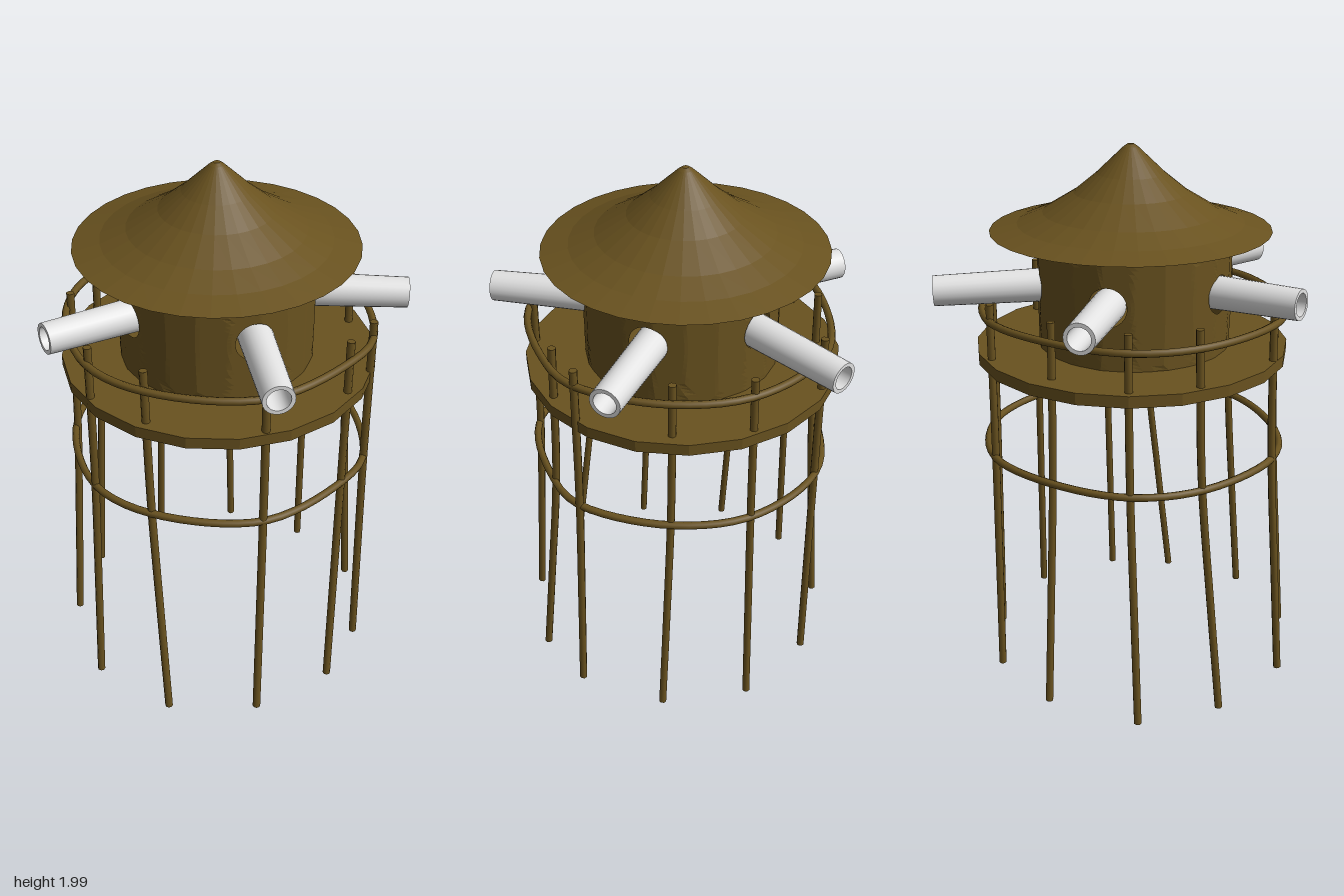
import * as THREE from 'three';

const timber = new THREE.MeshStandardMaterial({ color: 0x69521f, side: THREE.DoubleSide });
timber.name = 'brown timber';
timber.flatShading = true;
const timberSmooth = timber.clone();
timberSmooth.flatShading = false;
const pale = new THREE.MeshStandardMaterial({ color: 0xe2e2e2, side: THREE.DoubleSide });
pale.name = 'pale grey';

const V3 = (x, y, z) => new THREE.Vector3(x, y, z);
const WALL_R = 0.348, WALL_LOW = 1.28, WALL_HIGH = 1.72, PORT_Y = 1.515, PORT_R = 0.068, SIDES = 20;

// Barrels: point where each crosses the wall, then its outer end, in order round the drum
const BARRELS = [
  [V3(-0.075, 1.522, 0.337), V3(-0.145, 1.53, 0.645)],
  [V3(0.32, 1.515, 0.125), V3(0.6, 1.508, 0.305)],
  [V3(0.22, 1.51, -0.27), V3(0.44, 1.5, -0.5)],
  [V3(-0.16, 1.51, -0.3), V3(-0.315, 1.5, -0.63)],
  [V3(-0.345, 1.505, 0.022), V3(-0.622, 1.5, 0.04)],
];

// Legs: top x, z, then bottom x, z, in order round the platform
const LEGS = [
  [-0.06, 0.538, -0.03, 0.61], [0.17, 0.49, 0.3, 0.54], [0.48, 0.235, 0.535, 0.3],
  [0.51, -0.128, 0.595, -0.03], [0.479, -0.278, 0.517, -0.27], [0.205, -0.465, 0.265, -0.5],
  [-0.055, -0.528, -0.065, -0.545], [-0.366, -0.39, -0.36, -0.41], [-0.468, -0.12, -0.536, -0.139],
  [-0.5, 0.16, -0.537, 0.208], [-0.38, 0.365, -0.36, 0.463],
];

function add(group, name, geometry, material) {
  const mesh = new THREE.Mesh(geometry, material);
  mesh.name = name;
  group.add(mesh);
  return mesh;
}

// Point on the many-sided drum at an angle and height
function wallPoint(angle, y) {
  const step = (2 * Math.PI) / SIDES;
  const local = angle - (Math.floor(angle / step) + 0.5) * step;
  const r = (WALL_R * Math.cos(step / 2)) / Math.cos(local);
  return [r * Math.sin(angle), y, r * Math.cos(angle)];
}

// Section of wall with a round port, made of rings growing from circle to rectangle
function wallSection(centre, left, right) {
  const rings = 12, around = 48, positions = [], index = [];
  for (let s = 0; s <= rings; s++) {
    for (let k = 0; k <= around; k++) {
      const t = (k / around) * 2 * Math.PI, c = Math.cos(t), n = Math.sin(t);
      const m = Math.max(Math.abs(c), Math.abs(n));
      const outA = (c / m) * (c < 0 ? left : right);
      const outY = (n / m) * (n < 0 ? PORT_Y - WALL_LOW : WALL_HIGH - PORT_Y);
      const f = s / rings;
      const a = THREE.MathUtils.lerp((c * PORT_R) / WALL_R, outA, f);
      const y = THREE.MathUtils.lerp(n * PORT_R, outY, f);
      positions.push(...wallPoint(centre + a, PORT_Y + y));
      if (s < rings && k < around) {
        const i = s * (around + 1) + k, j = i + around + 1;
        index.push(i, j, j + 1, i, j + 1, i + 1);
      }
    }
  }
  const g = new THREE.BufferGeometry();
  g.setAttribute('position', new THREE.Float32BufferAttribute(positions, 3));
  g.setIndex(index);
  g.computeVertexNormals();
  return g;
}

// Hollow, slightly tapered barrel poking through its port
function barrel(wall, end) {
  const group = new THREE.Group();
  group.name = 'barrel';
  const dir = end.clone().sub(wall).normalize();
  const start = wall.clone().addScaledVector(dir, -0.06);
  const L = start.distanceTo(end);
  const profile = [[0.06, 0], [0.054, L], [0.04, L], [0.044, 0]];
  ['barrelOutside', 'barrelRim', 'barrelBore'].forEach((name, i) => {
    const pts = [profile[i], profile[i + 1]].map(([r, y]) => new THREE.Vector2(r, y));
    add(group, name, new THREE.LatheGeometry(pts, 24), pale);
  });
  group.position.copy(start);
  group.quaternion.setFromUnitVectors(V3(0, 1, 0), dir);
  return group;
}

// Bent pole with closed ends
function leg([tx, tz, bx, bz], i) {
  const group = new THREE.Group();
  group.name = 'leg';
  const lerp = THREE.MathUtils.lerp;
  const at = (f, y) => V3(lerp(tx, bx, f), y, lerp(tz, bz, f));
  const foot = 0.012 + 0.009 * (i % 3);
  const curve = new THREE.CatmullRomCurve3([at(1, foot), at(0.6, 0.45), at(0.17, 0.95), at(0, 1.49)]);
  add(group, 'pole', new THREE.TubeGeometry(curve, 14, 0.0145, 8), timberSmooth);
  for (const [t, sign] of [[0, -1], [1, 1]]) {
    const cap = add(group, 'poleEnd', new THREE.CircleGeometry(0.0145, 8), timber);
    cap.position.copy(curve.getPoint(t));
    cap.quaternion.setFromUnitVectors(V3(0, 0, 1), curve.getTangent(t).multiplyScalar(sign));
  }
  return group;
}

export function createModel() {
  const model = new THREE.Group();
  model.name = 'watchtower';

  // Curved conical roof with a flat underside
  const roofProfile = [[0, 1.705], [0.497, 1.705], [0.4, 1.73], [0.31, 1.768], [0.2, 1.835],
    [0.12, 1.9], [0.06, 1.957], [0.025, 1.99], [0.012, 1.999], [0, 2]];
  const roof = add(model, 'roof',
    new THREE.LatheGeometry(roofProfile.map(([r, y]) => new THREE.Vector2(r, y)), 32), timber);
  roof.position.x = -0.01;

  // Drum wall, one section for each port
  const drum = new THREE.Group();
  drum.name = 'drumWall';
  model.add(drum);
  const turn = 2 * Math.PI;
  const angles = BARRELS.map(([w]) => Math.atan2(w.x, w.z));
  const gap = (i, j) => (((angles[j] - angles[i]) % turn) + turn) % turn;
  angles.forEach((a, i) => {
    const n = angles.length;
    add(drum, 'wallSection', wallSection(a, gap((i + n - 1) % n, i) / 2, gap(i, (i + 1) % n) / 2), timber);
  });
  drum.position.z = 0.01;

  // Barrels
  for (const [wall, end] of BARRELS) model.add(barrel(wall, end));

  // Platform
  const platform = add(model, 'platform', new THREE.CylinderGeometry(0.565, 0.565, 0.042, SIDES), timber);
  platform.position.y = 1.27;

  // Legs
  LEGS.forEach((l, i) => model.add(leg(l, i)));

  // Two hoops tied round the outside of the legs
  for (const [name, y] of [['handrail', 1.43], ['legHoop', 0.913]]) {
    const points = LEGS.map(([x, z, bx, bz]) => {
      const p = V3(x + (bx - x) * 0.25, 0, z + (bz - z) * 0.25);
      return p.setLength(p.length() * 0.7 + 0.165).setY(y);
    });
    const curve = new THREE.CatmullRomCurve3(points, true);
    add(model, name, new THREE.TubeGeometry(curve, 66, 0.0135, 8, true), timberSmooth);
  }
  return model;
}
